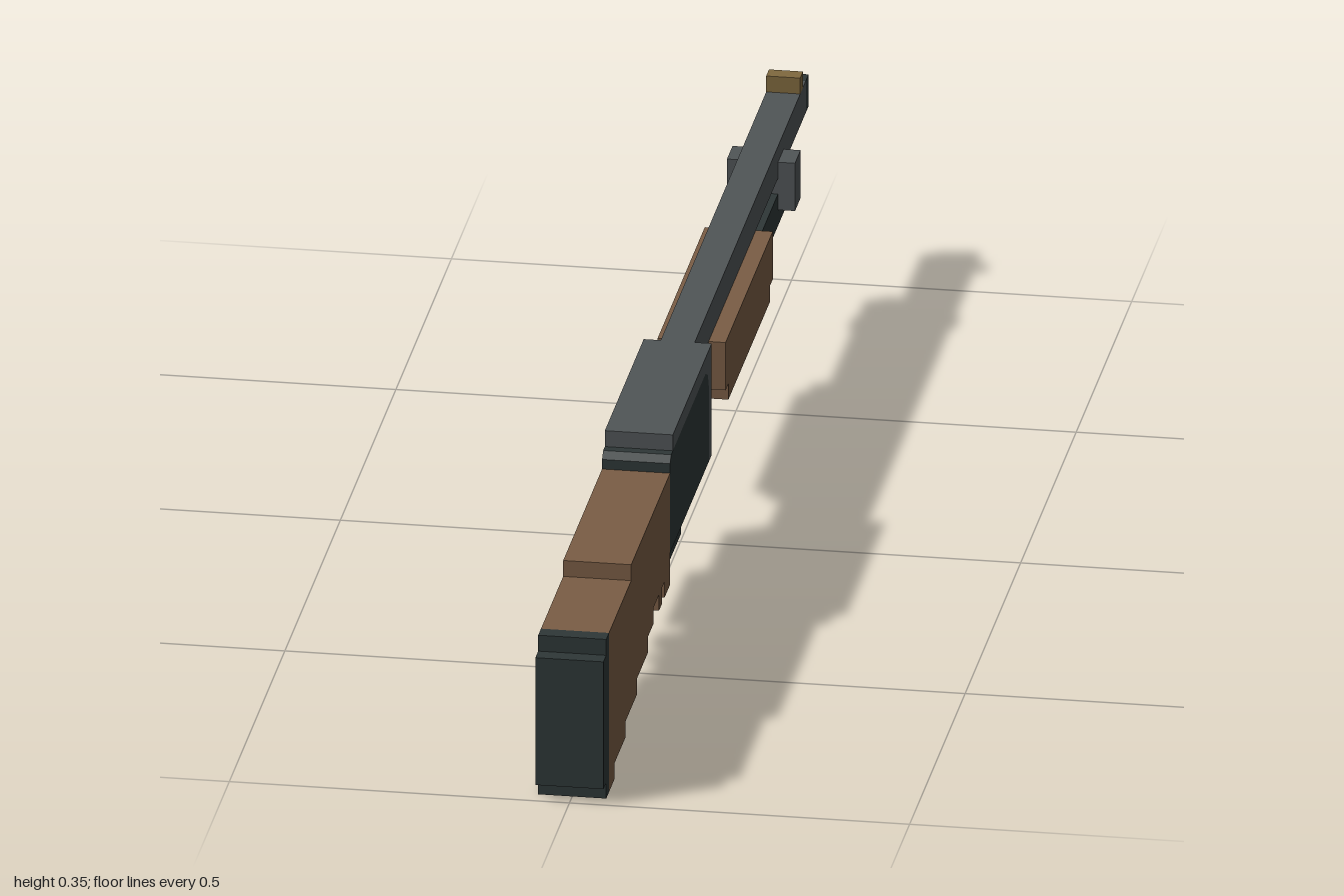
import * as THREE from 'three';

const mat = (name, color) => {
  const m = new THREE.MeshStandardMaterial({ color });
  m.name = name;
  return m;
};

export function createModel() {
  const dark = mat('dark steel', 0x2e3737);
  const grey = mat('grey steel', 0x505557);
  const wood = mat('wood', 0x7a5d45);
  const brass = mat('brass', 0x80693f);
  const group = new THREE.Group();

  const add = (name, geometry, material) => {
    const mesh = new THREE.Mesh(geometry, material);
    mesh.name = name;
    group.add(mesh);
    return mesh;
  };
  // Box from its limits along each axis
  const box = (name, material, x0, x1, y0, y1, z0, z1) => {
    const g = new THREE.BoxGeometry(x1 - x0, y1 - y0, z1 - z0);
    g.translate((x0 + x1) / 2, (y0 + y1) / 2, (z0 + z1) / 2);
    return add(name, g, material);
  };
  const toPoints = (pts) => pts.map(([z, y]) => new THREE.Vector2(z, y));
  const rect = (z0, z1, y0, y1) => [[z0, y0], [z1, y0], [z1, y1], [z0, y1]];
  // Side profile in (z, y), extruded across x
  const profile = (name, material, pts, halfWidth, holes = []) => {
    const shape = new THREE.Shape(toPoints(pts));
    for (const h of holes) shape.holes.push(new THREE.Path(toPoints(h)));
    const g = new THREE.ExtrudeGeometry(shape, { depth: halfWidth * 2, bevelEnabled: false });
    g.translate(0, 0, -halfWidth);
    g.rotateY(-Math.PI / 2);
    return add(name, g, material);
  };

  // Stock with stepped underside
  profile('stock', wood, [
    [0.95, 0.25], [0.75, 0.25], [0.75, 0.275], [0.4, 0.275],
    [0.4, 0.1], [0.45, 0.1], [0.45, 0.125], [0.475, 0.125], [0.475, 0.1], [0.5, 0.1],
    [0.5, 0.125], [0.55, 0.125], [0.55, 0.1], [0.6, 0.1], [0.6, 0.075], [0.7, 0.075],
    [0.7, 0.05], [0.8, 0.05], [0.8, 0.025], [0.9, 0.025], [0.9, 0], [0.95, 0],
  ], 0.05);

  // Butt plate in two layers
  box('buttPlate', dark, -0.05, 0.05, 0, 0.25, 0.95, 0.975);
  box('buttPad', dark, -0.05, 0.05, 0.025, 0.225, 0.975, 1);

  // Receiver: dark body with clipped corners, grey top and front
  profile('receiverBody', dark, [
    [0.4, 0.15], [0.4, 0.29], [0.39, 0.3], [0.08, 0.3], [0.06, 0.29], [0.05, 0.265], [0.05, 0.15],
  ], 0.05);
  profile('receiverCover', grey, [
    [0.375, 0.3], [0.375, 0.325], [0.025, 0.325], [0.025, 0.15],
    [0.05, 0.15], [0.05, 0.265], [0.06, 0.29], [0.08, 0.3],
  ], 0.05);

  // Guard and trigger as one framed piece
  profile('triggerGuard', dark, rect(0.15, 0.35, 0.075, 0.15), 0.025, [
    rect(0.175, 0.25, 0.1, 0.149),
    rect(0.275, 0.325, 0.1, 0.149),
  ]);

  // Barrel, muzzle and sight
  box('barrel', grey, -0.025, 0.025, 0.275, 0.325, -0.975, 0.025);
  box('muzzle', dark, -0.025, 0.025, 0.275, 0.325, -1, -0.975);
  box('frontSight', brass, -0.025, 0.025, 0.325, 0.35, -0.95, -0.925);

  // Magazine tube, its cap and the clamp pieces on both sides
  box('magazineTube', dark, -0.025, 0.025, 0.2, 0.25, -0.785, 0.025);
  box('magazineCap', grey, -0.025, 0.025, 0.2, 0.25, -0.85, -0.785);
  box('barrelClampBridge', grey, -0.025, 0.025, 0.25, 0.275, -0.775, -0.725);

  for (const s of [-1, 1]) {
    const x0 = s < 0 ? -0.05 : 0.025;
    box('barrelClamp', grey, x0, x0 + 0.025, 0.225, 0.3, -0.775, -0.725);
    box('foreEndSide', wood, x0, x0 + 0.025, 0.2, 0.275, -0.525, -0.1);
    box('foreEndLowerEdge', wood, x0, x0 + 0.025, 0.175, 0.2, -0.5, -0.125);
  }
  // Fore-end keel, longer than its lower edges
  box('foreEndKeel', wood, -0.025, 0.025, 0.175, 0.2, -0.525, -0.1);

  return group;
}
